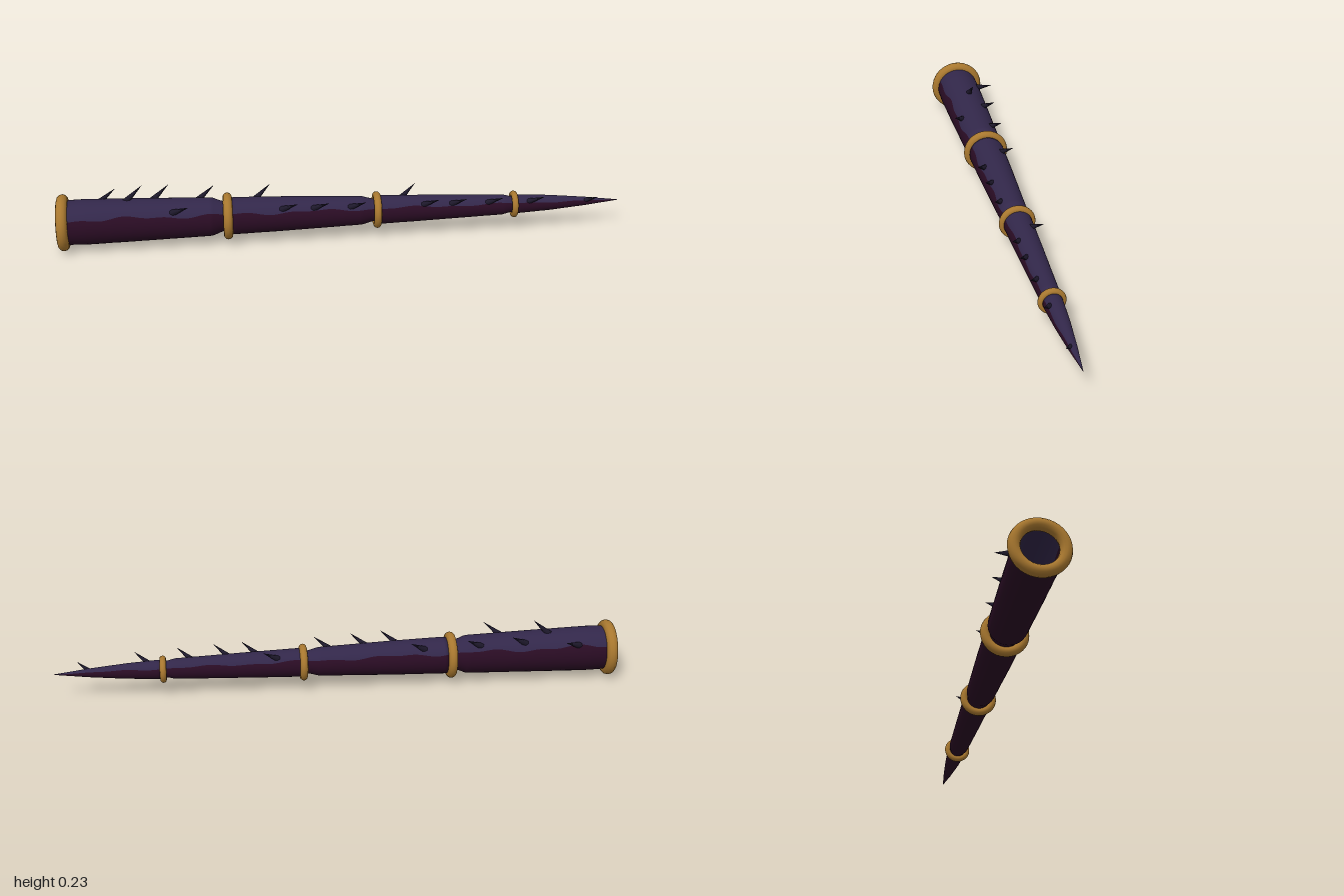
import * as THREE from 'three';
import { ParametricGeometry } from 'three/addons/geometries/ParametricGeometry.js';

const CY = 0.102, CZ = 0.008; // centre line of the tapered body

const mat = (name, color, side = THREE.FrontSide) => {
  const m = new THREE.MeshStandardMaterial({ color, side });
  m.name = name;
  return m;
};

// Body radius along x; pinched just before each ring
const PROFILE = [
  [-0.985, 0.078], [-0.9, 0.08], [-0.7, 0.075], [-0.46, 0.068], [-0.42, 0.052], [-0.405, 0.051],
  [-0.388, 0.066], [-0.2, 0.061], [0.07, 0.051], [0.11, 0.04], [0.125, 0.04],
  [0.138, 0.051], [0.3, 0.046], [0.58, 0.036], [0.605, 0.029], [0.618, 0.029],
  [0.63, 0.034], [0.75, 0.027], [0.88, 0.015], [1, 0.0008],
];

function radiusAt(x) {
  for (let i = 1; i < PROFILE.length; i++) {
    const [x0, r0] = PROFILE[i - 1], [x1, r1] = PROFILE[i];
    if (x <= x1) return r0 + (r1 - r0) * (x - x0) / (x1 - x0);
  }
  return PROFILE[PROFILE.length - 1][1];
}

// Wavy edge between back and belly colour, in radians away from straight up
const edgeAt = (x, side) => 1.06 + 0.07 * Math.sin(x * 19 + side) + 0.05 * Math.sin(x * 43 + side * 2);

// Lengthwise strip of the body between two angle functions
function skin(from, to, slices) {
  const x0 = PROFILE[0][0];
  return new ParametricGeometry((u, v, p) => {
    const x = x0 + (1 - x0) * v, r = radiusAt(x);
    const a = from(x) + (to(x) - from(x)) * u;
    p.set(x, CY + r * Math.cos(a), CZ + r * Math.sin(a));
  }, slices, 150);
}

export function createModel() {
  const group = new THREE.Group();
  group.name = 'spikedTail';
  const backMat = mat('duskPurple', 0x32274a, THREE.DoubleSide);
  const bellyMat = mat('darkPlum', 0x2a0c24, THREE.DoubleSide);
  const goldMat = mat('oldGold', 0xa9782f);
  const spikeMat = mat('blackViolet', 0x1e192c);

  const add = (name, geometry, material) => {
    const mesh = new THREE.Mesh(geometry, material);
    mesh.name = name;
    group.add(mesh);
    return mesh;
  };

  // Hollow tapered body: back and belly
  add('back', skin(x => -edgeAt(x, 2), x => edgeAt(x, 0), 14), backMat);
  add('belly', skin(x => edgeAt(x, 0), x => 2 * Math.PI - edgeAt(x, 2), 22), bellyMat);

  // Gold rings: x, ring radius, thickness radius
  [[-0.98, 0.08, 0.02], [-0.405, 0.0665, 0.0165], [0.125, 0.052, 0.0135], [0.62, 0.0365, 0.0115]]
    .forEach(([x, R, r], i) => {
      const ring = add('ring' + (i + 1), new THREE.TorusGeometry(R, r, 12, 40), goldMat);
      ring.rotation.y = Math.PI / 2;
      ring.position.set(x, CY, CZ);
    });

  // Spikes leaning towards the tip: tip x, angle from straight up towards +z
  const spikes = [
    [-0.8, -55], [-0.7, -6], [-0.61, -40], [-0.54, 48], [-0.45, -40],
    [-0.25, -40], [-0.16, 48], [-0.05, 48], [0.08, 48],
    [0.27, -40], [0.34, 48], [0.44, 48], [0.57, 48], [0.72, 48], [0.92, 48],
  ];
  spikes.forEach(([tipX, degrees], i) => {
    const a = THREE.MathUtils.degToRad(degrees);
    const s = tipX > 0.8 ? 0.65 : 1 - 0.12 * (tipX + 0.8);
    const at = (x, r) => new THREE.Vector3(x, CY + r * Math.cos(a), CZ + r * Math.sin(a));
    const baseX = tipX - 0.065 * s;
    const base = at(baseX, radiusAt(baseX) - 0.012 * s);
    const tip = at(tipX, radiusAt(tipX) + 0.053 * s);
    const direction = tip.clone().sub(base);
    const length = direction.length();
    const cone = new THREE.ConeGeometry(0.0135 * s, length, 8).translate(0, length / 2, 0);
    const spike = add('spike' + (i + 1), cone, spikeMat);
    spike.position.copy(base);
    spike.quaternion.setFromUnitVectors(new THREE.Vector3(0, 1, 0), direction.normalize());
  });

  return group;
}
